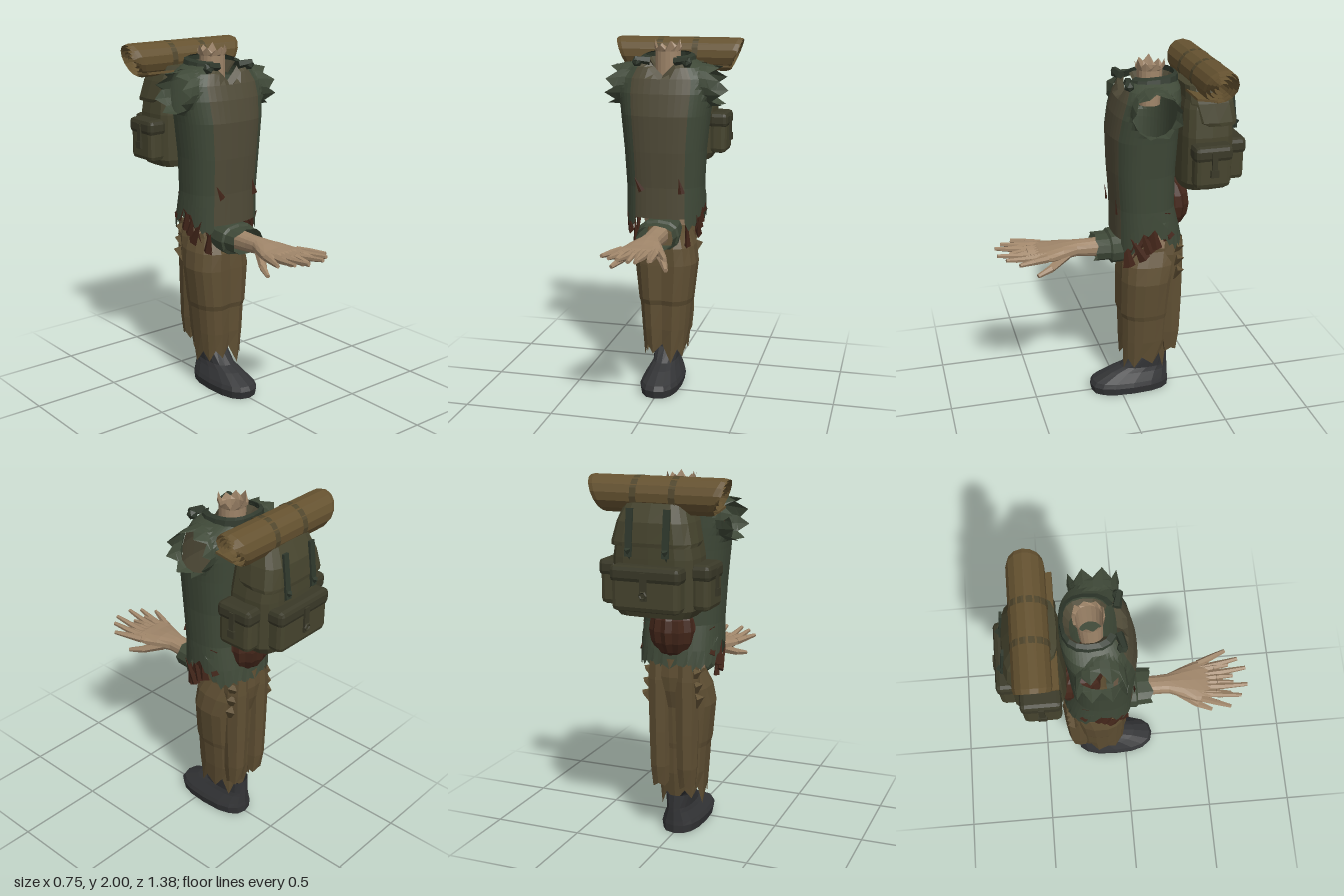
import * as THREE from 'three';
import { RoundedBoxGeometry } from 'three/addons/geometries/RoundedBoxGeometry.js';

const mat = (color) => new THREE.MeshStandardMaterial({ color, flatShading: true, side: THREE.DoubleSide, roughness: 1 });
const M = {
  vest: mat(0x3f4938), shirt: mat(0x504b38), trim: mat(0x2f382c), trousers: mat(0x5f4f33), skin: mat(0xa0866a),
  pack: mat(0x46442e), packDark: mat(0x3a3928), roll: mat(0x655230), rollStrap: mat(0x50462c), torn: mat(0x43261a), boot: mat(0x333436),
};
const JAG = [0, 1, 0.25, 0.75, 0.1, 0.55];
const lerp = THREE.MathUtils.lerp;

function add(parent, name, geo, material, pos = [0, 0, 0], rot = [0, 0, 0]) {
  const m = new THREE.Mesh(geo, material);
  m.name = name;
  m.position.set(...pos);
  m.rotation.set(...rot);
  parent.add(m);
  return m;
}

// Grid of nu x nv cells through fn(i, j) -> [x, y, z]; skip(i, j) leaves cells out
function surface(nu, nv, fn, skip = () => false) {
  const pos = [], idx = [], w = nu + 1;
  for (let j = 0; j <= nv; j++) for (let i = 0; i <= nu; i++) pos.push(...fn(i, j));
  for (let j = 0; j < nv; j++) for (let i = 0; i < nu; i++) {
    if (skip(i, j)) continue;
    const a = j * w + i;
    idx.push(a, a + 1, a + w + 1, a, a + w + 1, a + w);
  }
  const g = new THREE.BufferGeometry();
  g.setAttribute('position', new THREE.Float32BufferAttribute(pos, 3));
  g.setIndex(idx);
  g.computeVertexNormals();
  return g;
}

// Rounded cross-sections [y, halfWidth, zBack, zFront], listed bottom to top
function loft(rings, { n = 12, p = 2.5, a0 = 0, a1 = Math.PI * 2, sub = 1, jagB = 0, jagT = 0, mod = (v) => v, skip } = {}) {
  const rows = (rings.length - 1) * sub;
  const at = (i, j) => {
    const k = Math.min(Math.floor(j / sub), rings.length - 2), t = j / sub - k;
    const [y, rx, zb, zf] = rings[k].map((v, q) => lerp(v, rings[k + 1][q], t));
    const a = a0 + (a1 - a0) * i / n, s = Math.sin(a), c = Math.cos(a), e = 2 / p;
    const jag = JAG[(i % n) % 6];
    const dy = j === 0 ? -jagB * jag : j === rows ? jagT * jag : 0;
    return [Math.sign(s) * Math.abs(s) ** e * rx, y + dy, (zb + zf) / 2 + Math.sign(c) * Math.abs(c) ** e * (zf - zb) / 2];
  };
  return surface(n, rows, (i, j) => mod(at(i, j)), skip && ((i, j) =>
    [[0, 0], [1, 0], [0, 1], [1, 1]].every(([u, v]) => skip(at(i + u, j + v)))));
}

// Tapered rod between two points
function rod(parent, name, a, b, r0, r1, material, sides = 6) {
  const A = new THREE.Vector3(...a), B = new THREE.Vector3(...b), d = B.clone().sub(A);
  const m = add(parent, name, new THREE.CylinderGeometry(r1, r0, d.length(), sides), material);
  m.position.copy(A).add(B).multiplyScalar(0.5);
  m.quaternion.setFromUnitVectors(new THREE.Vector3(0, 1, 0), d.normalize());
  return m;
}

const BODY = [[1.0, 0.225, -0.345, 0.05], [1.2, 0.22, -0.3, 0.05], [1.4, 0.23, -0.3, 0.065], [1.6, 0.25, -0.31, 0.07],
  [1.72, 0.265, -0.315, 0.05], [1.8, 0.262, -0.32, 0.025], [1.86, 0.22, -0.32, 0], [1.895, 0.15, -0.31, -0.03]];

// Half width of the torso at a height and depth
function torsoX(y, z) {
  const k = Math.min(Math.max(BODY.findIndex((r) => r[0] > y), 1), BODY.length - 1), A = BODY[k - 1], B = BODY[k];
  const [, rx, zb, zf] = A.map((v, q) => lerp(v, B[q], (y - A[0]) / (B[0] - A[0])));
  const u = Math.min(1, Math.abs(2 * z - zb - zf) / (zf - zb));
  return rx * (1 - u ** 2.5) ** 0.4;
}

// Armhole ellipse, in z and y
const HZ = -0.135, HY = 1.763, HA = 0.125, HB = 0.12;
const holeR = ([x, y, z]) => (Math.abs(x) < 0.14 ? 9 : Math.hypot((z - HZ) / HA, (y - HY) / HB));
const pushOut = (v) => {
  const r = holeR(v);
  return r >= 1 || r < 1e-4 ? v : [v[0], HY + (v[1] - HY) / r, HZ + (v[2] - HZ) / r];
};
// Hem torn open at the hips
const tearHem = ([x, y, z]) => [x, y < 1.1 && Math.abs(x) > 0.17 ? y + 0.13 * Math.max(0, 1 - Math.abs(z + 0.13) / 0.12) : y, z];

function buildTorso(g) {
  const split = 0.6;
  add(g, 'vest', loft(BODY, { n: 42, sub: 3, a0: split, a1: Math.PI * 2 - split, jagB: 0.045, mod: (v) => tearHem(pushOut(v)),
    skip: (v) => holeR(v) < 1 }), M.vest);
  // Shirt front with a V neck
  const front = BODY.map(([y, x, b, f]) => [Math.max(y, 1.025), x, b, f - 0.006]);
  add(g, 'shirtFront', loft(front, { n: 10, a0: -split - 0.06, a1: split + 0.06, mod: ([x, y, z]) =>
    [x, y > 1.85 ? y - 0.08 * Math.max(0, 1 - Math.abs(x) / 0.08) : y, z] }), M.shirt);
  add(g, 'collar', loft([[1.87, 0.16, -0.315, -0.015], [1.915, 0.148, -0.312, -0.03], [1.925, 0.125, -0.295, -0.06]],
    { n: 14, a0: 0.5, a1: Math.PI * 2 - 0.5, mod: ([x, y, z]) => [x, y - 0.07 * (z + 0.17), z] }), M.trim);
  add(g, 'shirtNeckline', loft([[1.9, 0.128, -0.3, -0.06], [1.84, 0.085, -0.27, -0.09]],
    { n: 14, a0: 0.6, a1: Math.PI * 2 - 0.6 }), M.shirt);
  add(g, 'neck', loft([[1.75, 0.07, -0.225, -0.105], [1.94, 0.07, -0.235, -0.1], [1.95, 0.078, -0.25, -0.09]],
    { n: 18, p: 2.2, jagT: 0.05 }), M.skin);
  add(g, 'neckBase', new THREE.CircleGeometry(0.066, 14), M.vest, [0, 1.76, -0.165], [-Math.PI / 2, 0, 0]);
  add(g, 'hips', loft([[0.93, 0.13, -0.3, -0.08], [1.15, 0.17, -0.27, -0.03]], { n: 10 }), M.skin);
  for (const s of [-1, 1]) {
    const side = new THREE.Group();
    side.name = s > 0 ? 'leftTorsoDetails' : 'rightTorsoDetails';
    side.scale.x = s;
    // Short torn sleeve growing from the armhole edge
    add(side, 'tornSleeve', surface(16, 2, (i, j) => {
      const a = i / 16 * Math.PI * 2, sn = Math.sin(a), tip = j === 2 && i % 2 ? 0.055 : 0;
      const y = HY + sn * HB, z = HZ - Math.cos(a) * HA, x0 = torsoX(y, z);
      const x = lerp(x0, 0.272 - 0.02 * Math.max(0, sn), [0, 0.75, 1][j]);
      return [x + tip, y - [0, 0.006, 0.015][j] * (sn > 0), z - Math.cos(a) * [0, 0.004, 0.008][j]];
    }), M.vest);
    rod(side, 'collarFlap', [0.07, 1.895, -0.03], [0.15, 1.905, -0.01], 0.024, 0.018, M.trim, 5);
    add(side, 'shoulderKnot', new THREE.IcosahedronGeometry(0.03, 0), M.trim, [0.14, 1.89, -0.02]);
    // Rips on the chest and ragged hip cloth
    const r = add(side, 'frontRip', new THREE.ConeGeometry(0.02, 0.09, 4), M.torn, [0.12, 1.22, 0.046], [0, 0, s > 0 ? 0.2 : -0.5]);
    r.scale.z = 0.3;
    for (let i = 0; i < 9; i++) {
      const h = 0.15 + 0.1 * JAG[(i + 2) % 6];
      const c = add(side, 'hipRag', new THREE.ConeGeometry(0.036, h, 4), M.torn,
        [(i < 2 ? 0.15 : 0.2) - 0.01 * (i % 2), 0.95 + i * 0.019, -0.01 - i * 0.023],
        [(i % 2 ? Math.PI - 0.35 : 0.35) + 0.2 * (i % 3 - 1), 0, 0]);
      c.scale.x = 0.5;
    }
    g.add(side);
  }
  // Fluted pouch under the backpack
  const pouch = new THREE.SphereGeometry(1, 24, 8), pp = pouch.attributes.position;
  for (let i = 0; i < pp.count; i++) {
    const k = 1 - 0.1 * (Math.round(Math.atan2(pp.getZ(i), pp.getX(i)) / (Math.PI / 12)) & 1);
    pp.setXYZ(i, pp.getX(i) * 0.14 * k, pp.getY(i) * 0.165, pp.getZ(i) * 0.145 * k);
  }
  add(g, 'rearPouch', pouch, M.torn, [0, 1.175, -0.26]);
}

function buildLegs(g) {
  // Trousers with a shallow seam down the front
  add(g, 'trousers', loft([[0.26, 0.125, -0.27, -0.01], [0.35, 0.14, -0.29, -0.002], [0.5, 0.152, -0.295, 0], [0.53, 0.16, -0.3, 0.01],
    [0.74, 0.183, -0.31, 0.01], [0.84, 0.165, -0.34, 0.005], [0.92, 0.13, -0.35, -0.03], [1.02, 0.12, -0.34, -0.1]],
  { n: 18, jagB: 0.11, mod: ([x, y, z]) => [x, y, Math.abs(x) < 0.01 && z > -0.1 ? z - 0.02 : z] }), M.trousers);
  for (const s of [-1, 1]) {
    const m = add(g, s > 0 ? 'leftRearFold' : 'rightRearFold', loft([[0.3, 0.045, -0.325, -0.24], [0.4, 0.055, -0.345, -0.22],
      [0.6, 0.06, -0.352, -0.2], [0.9, 0.065, -0.355, -0.2], [0.98, 0.05, -0.35, -0.22]], { n: 8, jagB: 0.035, jagT: 0.03 }), M.trousers);
    m.position.x = s * 0.078;
    for (let i = 0; i < 3; i++) // frayed tears on the thigh
      add(g, 'trouserFray', new THREE.ConeGeometry(0.03, 0.11, 3), M.trousers, [s * (0.125 + 0.008 * i), 0.91 - i * 0.07, -0.295], [2.8, 0, s * 0.3]);
  }
  add(g, 'boot', loft([[0, 0.001, -0.07, -0.068], [0, 0.11, -0.3, 0.165], [0.045, 0.118, -0.302, 0.175], [0.07, 0.108, -0.3, 0.16],
    [0.12, 0.08, -0.298, 0.06], [0.145, 0.07, -0.296, -0.01], [0.22, 0.075, -0.29, -0.09]], { n: 16 }), M.boot);
}

function buildArms(g) {
  // Loft along z: rings are [z, halfWidth, yLow, yHigh]
  const along = (rings, o) => loft(rings.map(([z, x, lo, hi]) => [z, x, -hi, -lo]), o).rotateX(Math.PI / 2);
  add(g, 'cuff', along([[-0.1, 0.1, 0.88, 1.02], [0, 0.115, 0.85, 1.025], [0.06, 0.12, 0.85, 1.025], [0.07, 0.11, 0.87, 1.01],
    [0.135, 0.105, 0.87, 1.01]], { n: 12, jagT: 0.025 }), M.vest);
  add(g, 'forearmAndPalm', along([[0.05, 0.055, 0.88, 0.99], [0.18, 0.052, 0.89, 0.985], [0.25, 0.056, 0.9, 0.985],
    [0.33, 0.09, 0.9, 0.98], [0.4, 0.118, 0.905, 0.97], [0.46, 0.13, 0.925, 0.965], [0.485, 0.115, 0.94, 0.958]], { n: 14 }), M.skin);
  const fingers = [[0.012, 0.02, 0.62, 0.935], [0.035, 0.05, 0.695, 0.965], [0.075, 0.11, 0.655, 0.96], [0.065, 0.085, 0.6, 0.94],
    [0.105, 0.168, 0.59, 0.95]];
  for (const s of [-1, 1]) {
    const hand = new THREE.Group();
    hand.name = s > 0 ? 'leftHand' : 'rightHand';
    hand.scale.x = s;
    for (const [x0, x1, z1, y] of fingers) {
      const k = [(x0 + x1) / 2, 0.947, (0.43 + z1) / 2];
      rod(hand, 'fingerBase', [x0, 0.942, 0.43], k, 0.022, 0.018, M.skin);
      rod(hand, 'fingerTip', k, [x1, y, z1], 0.018, 0.011, M.skin);
    }
    rod(hand, 'thumbBase', [0.05, 0.93, 0.31], [0.115, 0.885, 0.41], 0.03, 0.021, M.skin);
    rod(hand, 'thumbTip', [0.115, 0.885, 0.41], [0.148, 0.864, 0.49], 0.021, 0.012, M.skin);
    g.add(hand);
  }
}

function buildPack(g) {
  add(g, 'packBody', loft([[1.3, 0.001, -0.45, -0.448], [1.3, 0.2, -0.59, -0.32], [1.34, 0.225, -0.605, -0.31], [1.6, 0.225, -0.605, -0.31],
    [1.75, 0.2, -0.6, -0.32], [1.85, 0.17, -0.56, -0.34], [1.87, 0.001, -0.45, -0.448]], { n: 16, p: 4 }), M.pack);
  add(g, 'packLid', loft([[1.66, 0.222, -0.615, -0.4], [1.68, 0.225, -0.618, -0.36], [1.78, 0.2, -0.605, -0.33], [1.87, 0.165, -0.56, -0.33],
    [1.885, 0.001, -0.45, -0.448]], { n: 16, p: 4 }), M.pack);
  const pocket = (name, size, pos) => {
    const p = new THREE.Group();
    p.name = name;
    const [w, h, d] = size;
    add(p, 'pocketBody', new RoundedBoxGeometry(w, h, d, 1, 0.028), M.pack, pos);
    add(p, 'pocketFlap', new RoundedBoxGeometry(w + 0.014, h * 0.38, d + 0.014, 1, 0.025), M.packDark, [pos[0], pos[1] + h * 0.34, pos[2]]);
    g.add(p);
  };
  pocket('rearPocket', [0.37, 0.23, 0.11], [0, 1.45, -0.605]);
  add(g, 'rearPocketStrap', new THREE.BoxGeometry(0.035, 0.14, 0.012), M.packDark, [0, 1.47, -0.67]);
  add(g, 'rearBuckle', new THREE.TorusGeometry(0.018, 0.006, 4, 6), M.packDark, [0, 1.43, -0.678]);
  for (const s of [-1, 1]) {
    pocket(s > 0 ? 'leftPocket' : 'rightPocket', [0.1, 0.23, 0.2], [s * 0.25, 1.455, -0.445]);
    add(g, 'sidePocketStrap', new THREE.BoxGeometry(0.012, 0.14, 0.03), M.packDark, [s * 0.308, 1.48, -0.445]);
    add(g, 'sideBuckle', new THREE.BoxGeometry(0.016, 0.04, 0.045), M.packDark, [s * 0.311, 1.43, -0.445]);
    add(g, 'lidStrap', new THREE.BoxGeometry(0.035, 0.24, 0.014), M.trim, [s * 0.1, 1.73, -0.612], [0.12, 0, 0]);
    add(g, 'lidStrapEnd', new THREE.ConeGeometry(0.018, 0.07, 4), M.trim, [s * 0.1, 1.62, -0.62], [2.7, 0, 0]);
    add(g, 'rollStrap', new THREE.CylinderGeometry(0.099, 0.099, 0.035, 14, 1, true), M.rollStrap, [s * 0.105, 1.901, -0.46], [0, 0, Math.PI / 2]);
  }
  // Rolled sheet with a spiral section and slanted ends
  const steps = 56, ends = [-1, -0.93, 0.93, 1];
  add(g, 'bedroll', surface(steps, 3, (i, j) => {
    const t = i / steps, a = t * Math.PI * 8 - 0.6, r = 0.025 + 0.071 * Math.min(1, t * 1.33) - (Math.abs(ends[j]) === 1 ? 0.006 : 0);
    const y = 1.903 + Math.sin(a) * r;
    return [ends[j] * (0.337 + 0.42 * (y - 1.903)), y, -0.46 + Math.cos(a) * r];
  }), M.roll);
  add(g, 'bedrollTail', new THREE.BoxGeometry(0.62, 0.012, 0.11), M.roll, [0, 1.835, -0.39], [-0.15, 0, 0]);
}

export function createModel() {
  const root = new THREE.Group();
  root.name = 'tornTraveller';
  for (const [name, build] of [['torso', buildTorso], ['legs', buildLegs], ['arms', buildArms], ['backpack', buildPack]]) {
    const g = new THREE.Group();
    g.name = name;
    build(g);
    root.add(g);
  }
  return root;
}
